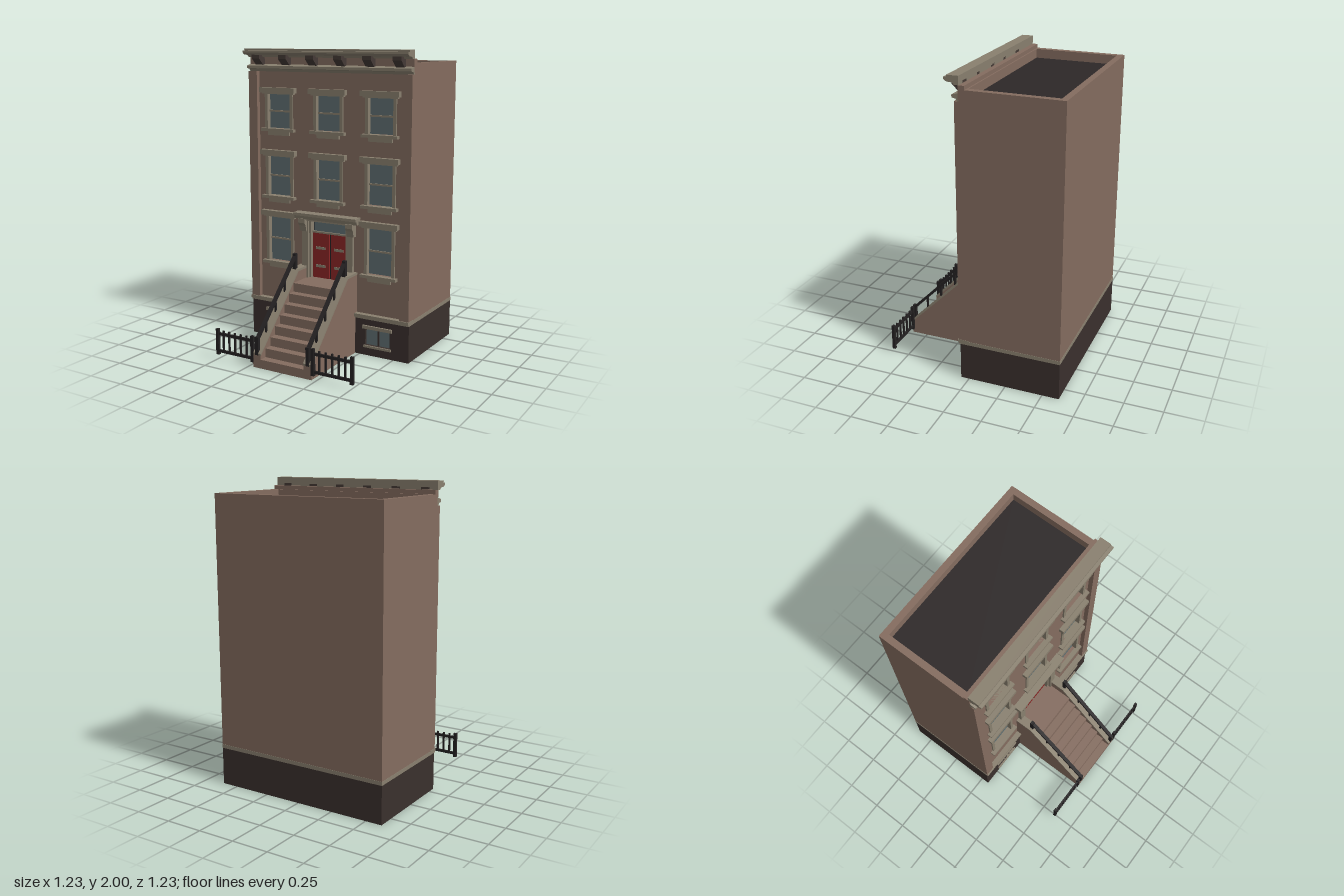
import * as THREE from 'three';

const mat = (color) => new THREE.MeshStandardMaterial({ color, flatShading: true });
const M = {
  brown: mat(0x846c5f), stone: mat(0x89806f), base: mat(0x3a302d), roof: mat(0x2d2828),
  glass: mat(0x5f6f72), red: mat(0x8a2626), iron: mat(0x242122), dark: mat(0x453a36),
};

export function createModel() {
  const root = new THREE.Group();

  const add = (name, geo, m, parent = root) => {
    const mesh = new THREE.Mesh(geo, m);
    mesh.name = name;
    parent.add(mesh);
    return mesh;
  };
  // box given by its limits on each axis
  const box = (name, m, x0, x1, y0, y1, z0, z1, parent) => {
    const mesh = add(name, new THREE.BoxGeometry(x1 - x0, y1 - y0, z1 - z0), m, parent);
    mesh.position.set((x0 + x1) / 2, (y0 + y1) / 2, (z0 + z1) / 2);
    return mesh;
  };
  // [z, y] profile swept along x from x0 to x1
  const sweep = (name, m, pts, x0, x1, parent) => {
    const shape = new THREE.Shape(pts.map(([z, y]) => new THREE.Vector2(z, y)));
    const geo = new THREE.ExtrudeGeometry(shape, { depth: x1 - x0, bevelEnabled: false });
    geo.rotateY(-Math.PI / 2).translate(x1, 0, 0);
    return add(name, geo, m, parent);
  };
  // upright slab with rectangular openings [x0, x1, y0, y1]
  const slab = (name, m, x0, x1, y0, y1, z0, z1, holes) => {
    const rect = (P, a, b, c, d) =>
      new P([[a, c], [b, c], [b, d], [a, d]].map((p) => new THREE.Vector2(...p)));
    const shape = rect(THREE.Shape, x0, x1, y0, y1);
    shape.holes = holes.map((h) => rect(THREE.Path, ...h));
    const geo = new THREE.ExtrudeGeometry(shape, { depth: z1 - z0, bevelEnabled: false });
    geo.translate(0, 0, z0);
    return add(name, geo, m);
  };
  const group = (name, x = 0) => {
    const g = new THREE.Group();
    g.name = name;
    g.position.x = x;
    root.add(g);
    return g;
  };

  const W = 0.612, B = -0.612, F = 0.035; // half width, back and facade planes
  const columns = [-0.385, 0, 0.385];
  const rows = [[0.55, 0.86], [1.01, 1.28], [1.47, 1.7]];
  const openings = [];
  rows.forEach(([y0, y1], r) => columns.forEach((x) => {
    if (r > 0 || x !== 0) openings.push([x, y0, y1]);
  }));

  // body, parapet and roof
  box('bodyCore', M.brown, -W, W, 0.27, 1.855, B, 0);
  box('roof', M.roof, -0.57, 0.57, 1.855, 1.86, -0.57, -0.01);
  box('parapetBack', M.brown, -W, W, 1.855, 1.92, B, -0.57);
  box('parapetFront', M.brown, -W, W, 1.855, 1.92, -0.01, 0);
  for (const s of [-1, 1]) {
    const e = [s * 0.57, s * W].sort((a, b) => a - b);
    box('parapetSide', M.brown, ...e, 1.855, 1.92, -0.57, -0.01);
    const p = [s * 0.545, s * W].sort((a, b) => a - b);
    box('cornerPilaster', M.brown, ...p, 0.28, 1.85, 0, 0.065);
  }
  slab('facade', M.brown, -W, W, 0.27, 1.87, 0, F, [
    ...openings.map(([x, y0, y1]) => [x - 0.09, x + 0.09, y0, y1]),
    [-0.15, 0.15, 0.465, 0.87],
  ]);

  // basement and belt course
  box('basement', M.base, -W, W, 0, 0.25, B, 0.03);
  slab('basementFront', M.base, -W, W, 0, 0.25, 0.03, 0.056,
    [-1, 1].map((s) => [s * 0.385 - 0.09, s * 0.385 + 0.09, 0.07, 0.185]));
  box('beltCourse', M.stone, -W - 0.002, W + 0.002, 0.25, 0.275, B - 0.002, 0.065);
  box('beltCourseLip', M.stone, -W - 0.002, W + 0.002, 0.262, 0.28, 0, 0.073);
  for (const s of [-1, 1]) {
    const g = group('basementWindow', s * 0.385);
    box('glass', M.glass, -0.09, 0.09, 0.07, 0.185, 0.025, 0.036, g);
    box('mullion', M.base, -0.006, 0.006, 0.07, 0.185, 0.03, 0.044, g);
    box('lintel', M.stone, -0.108, 0.108, 0.185, 0.207, 0.05, 0.07, g);
    box('sill', M.stone, -0.1, 0.1, 0.055, 0.07, 0.05, 0.066, g);
  }

  // sash windows
  for (const [x, y0, y1] of openings) {
    const g = group('window', x), mid = (y0 + y1) / 2;
    box('glass', M.glass, -0.09, 0.09, y0, y1, 0, 0.012, g);
    box('meetingRail', M.stone, -0.09, 0.09, mid - 0.006, mid + 0.006, 0.005, 0.02, g);
    for (const s of [-1, 1]) {
      box('jamb', M.stone, s * 0.1 - 0.011, s * 0.1 + 0.011, y0, y1, 0.005, 0.045, g);
    }
    box('lintel', M.stone, -0.125, 0.125, y1, y1 + 0.012, 0.01, 0.055, g);
    box('lintelCap', M.stone, -0.138, 0.138, y1 + 0.01, y1 + 0.044, 0.01, 0.07, g);
    box('sill', M.stone, -0.13, 0.13, y0 - 0.02, y0, 0.005, 0.068, g);
    box('sillApron', M.stone, -0.085, 0.085, y0 - 0.047, y0 - 0.02, 0.02, 0.05, g);
  }

  // main cornice
  const cornice = group('cornice');
  box('frieze', M.brown, -W, W, 1.86, 1.945, 0, 0.04, cornice);
  sweep('lowerMoulding', M.stone, [[0.03, 1.85], [0.045, 1.85], [0.055, 1.866], [0.08, 1.87],
    [0.08, 1.888], [0.03, 1.9]], -W, W, cornice);
  sweep('crown', M.stone, [[0.035, 1.945], [0.065, 1.945], [0.075, 1.958], [0.11, 1.96],
    [0.13, 1.975], [0.13, 1.986], [0.11, 1.988], [0.11, 2], [0.035, 2]], -W, W, cornice);
  for (const x of [-0.525, -0.315, -0.105, 0.105, 0.315, 0.525]) {
    sweep('bracket', M.dark, [[0.035, 1.89], [0.055, 1.89], [0.105, 1.935], [0.105, 1.96],
      [0.035, 1.96]], x - 0.03, x + 0.03, cornice);
  }

  // entrance
  const door = group('entrance');
  box('doorBacking', M.iron, -0.15, 0.15, 0.465, 0.87, 0, 0.006, door);
  box('transomGlass', M.glass, -0.125, 0.125, 0.79, 0.855, 0.004, 0.012, door);
  box('transomBar', M.stone, -0.135, 0.135, 0.778, 0.79, 0.004, 0.025, door);
  for (const s of [-1, 1]) {
    box('doorLeaf', M.red, s * 0.071 - 0.063, s * 0.071 + 0.063, 0.467, 0.778, 0.004, 0.018, door);
    for (const y of [0.55, 0.675]) {
      box('doorRail', M.stone, s * 0.07 - 0.036, s * 0.07 + 0.036, y - 0.009, y + 0.009, 0.01, 0.023, door);
    }
    box('doorPilaster', M.stone, s * 0.172 - 0.024, s * 0.172 + 0.024, 0.465, 0.87, 0.01, 0.06, door);
    box('doorJamb', M.stone, s * 0.142 - 0.008, s * 0.142 + 0.008, 0.465, 0.87, 0, 0.042, door);
    sweep('hoodBracket', M.stone, [[0.03, 0.79], [0.065, 0.79], [0.075, 0.83], [0.09, 0.85],
      [0.09, 0.878], [0.03, 0.878]], s * 0.182 - 0.026, s * 0.182 + 0.026, door);
  }
  box('entablature', M.stone, -0.205, 0.205, 0.863, 0.885, 0, 0.065, door);
  sweep('hood', M.stone, [[0.02, 0.876], [0.08, 0.876], [0.085, 0.897], [0.097, 0.9],
    [0.097, 0.918], [0.02, 0.922]], -0.24, 0.24, door);

  // stoop: stepped profile between sloping cheek walls
  const stoop = group('stoop'), rise = 0.0585, run = 0.0555;
  const steps = [[0.03, 0]];
  for (let i = 0; i < 8; i++) {
    const z = 0.61 - i * run;
    steps.push([z, i * rise], [z, (i + 1) * rise]);
  }
  steps.push([0.03, 8 * rise]);
  sweep('steps', M.brown, steps, -0.161, 0.161, stoop);
  for (const s of [-1, 1]) {
    const x = s * 0.19;
    sweep('cheekWall', M.brown, [[0.03, 0], [0.61, 0], [0.61, 0.085], [0.16, 0.535], [0.03, 0.535]],
      x - 0.029, x + 0.029, stoop);
    sweep('cheekCoping', M.stone, [[0.03, 0.535], [0.16, 0.535], [0.61, 0.085], [0.612, 0.098],
      [0.163, 0.55], [0.03, 0.55]], x - 0.031, x + 0.031, stoop);
    // handrail
    box('topPost', M.iron, x - 0.012, x + 0.012, 0.545, 0.652, 0.143, 0.167, stoop);
    box('newelPost', M.iron, x - 0.012, x + 0.012, 0.085, 0.205, 0.59, 0.613, stoop);
    sweep('handrail', M.iron, [[0.15, 0.632], [0.6, 0.178], [0.6, 0.202], [0.15, 0.655]],
      x - 0.012, x + 0.012, stoop);
    for (const z of [0.285, 0.393, 0.5]) {
      box('baluster', M.iron, x - 0.006, x + 0.006, 0.695 - z, 0.785 - z, z - 0.006, z + 0.006, stoop);
    }
  }

  // area fence on both sides of the stoop
  for (const s of [-1, 1]) {
    const g = group('areaFence', s * 0.365);
    for (const y of [0.055, 0.172]) {
      box('fenceRail', M.iron, -0.145, 0.145, y - 0.009, y + 0.009, 0.598, 0.61, g);
    }
    for (const x of [-0.138, 0.138]) {
      box('fencePost', M.iron, x - 0.011, x + 0.011, 0.03, 0.205, 0.594, 0.613, g);
    }
    for (let i = -2; i <= 2; i++) {
      box('picket', M.iron, i * 0.046 - 0.006, i * 0.046 + 0.006, 0.05, 0.197, 0.599, 0.609, g);
    }
  }
  return root;
}
